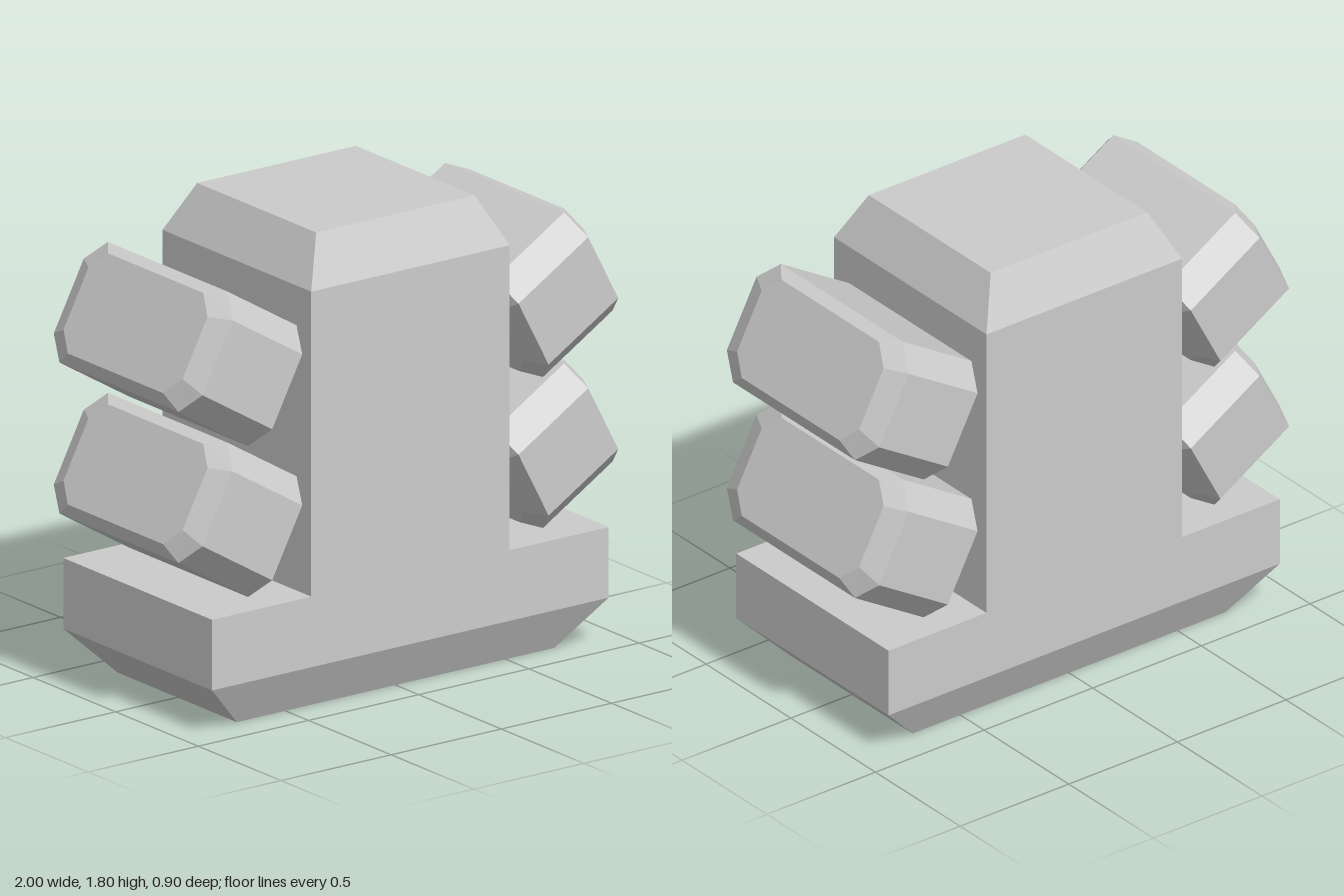
import * as THREE from 'three';

// Skin a list of rings (counter-clockwise seen from the last one) and cap both ends
function loft(rings) {
  const pos = [];
  const tri = (...pts) => pts.forEach((p) => pos.push(p.x, p.y, p.z));
  const n = rings[0].length;
  for (let r = 0; r < rings.length - 1; r++) {
    const a = rings[r], b = rings[r + 1];
    for (let i = 0; i < n; i++) {
      const j = (i + 1) % n;
      tri(a[i], a[j], b[j]);
      tri(a[i], b[j], b[i]);
    }
  }
  const first = rings[0], last = rings[rings.length - 1];
  for (let i = 1; i < n - 1; i++) {
    tri(first[0], first[i + 1], first[i]);
    tri(last[0], last[i], last[i + 1]);
  }
  const geo = new THREE.BufferGeometry();
  geo.setAttribute('position', new THREE.Float32BufferAttribute(pos, 3));
  geo.computeVertexNormals();
  return geo;
}

// Body: rectangular sections, [height, half width, half depth]
function bodyGeometry() {
  const sections = [
    [0, 0.72, 0.36], [0.18, 0.9, 0.45], [0.45, 0.9, 0.45],
    [0.45, 0.45, 0.45], [1.615, 0.45, 0.45], [1.8, 0.36, 0.36],
  ];
  return loft(sections.map(([y, w, d]) =>
    [[1, 1], [1, -1], [-1, -1], [-1, 1]].map(([x, z]) => new THREE.Vector3(x * w, y, z * d))));
}

// Pod: tilted octagonal prism with bevelled ends, slightly skewed
function podGeometry() {
  const U = new THREE.Vector3(0.158, 0.096, 0);
  const V = new THREE.Vector3(-0.11, 0.209, 0);
  const octagon = [
    [-1, -0.36], [-0.62, -0.45], [0.62, -0.45], [1, -0.36],
    [1, 0.36], [0.62, 0.45], [-0.62, 0.45], [-1, 0.36],
  ];
  // [position along axis, scale across, scale in depth]
  const sections = [[-1.22, 0.83, 0.8], [-1, 1, 1], [1, 1, 1], [1.22, 0.83, 0.8]];
  return loft(sections.map(([u, sv, sz]) => octagon.map(([v, z]) =>
    new THREE.Vector3(0, 0, z * sz).addScaledVector(U, u).addScaledVector(V, v * sv))));
}

export function createModel() {
  const model = new THREE.Group();
  model.name = 'podTower';
  const material = new THREE.MeshStandardMaterial({ color: 0xcccccc, flatShading: true });

  const body = new THREE.Mesh(bodyGeometry(), material);
  body.name = 'body';
  model.add(body);

  // Two pods on each side of the column
  const podGeo = podGeometry();
  for (const side of [1, -1]) {
    [['lower', 0.773], ['upper', 1.35]].forEach(([level, y]) => {
      const pod = new THREE.Mesh(podGeo, material);
      pod.name = `${level}${side > 0 ? 'Left' : 'Right'}Pod`;
      pod.position.set(side * 0.717, y, 0);
      if (side < 0) pod.rotation.y = Math.PI;
      model.add(pod);
    });
  }
  return model;
}
